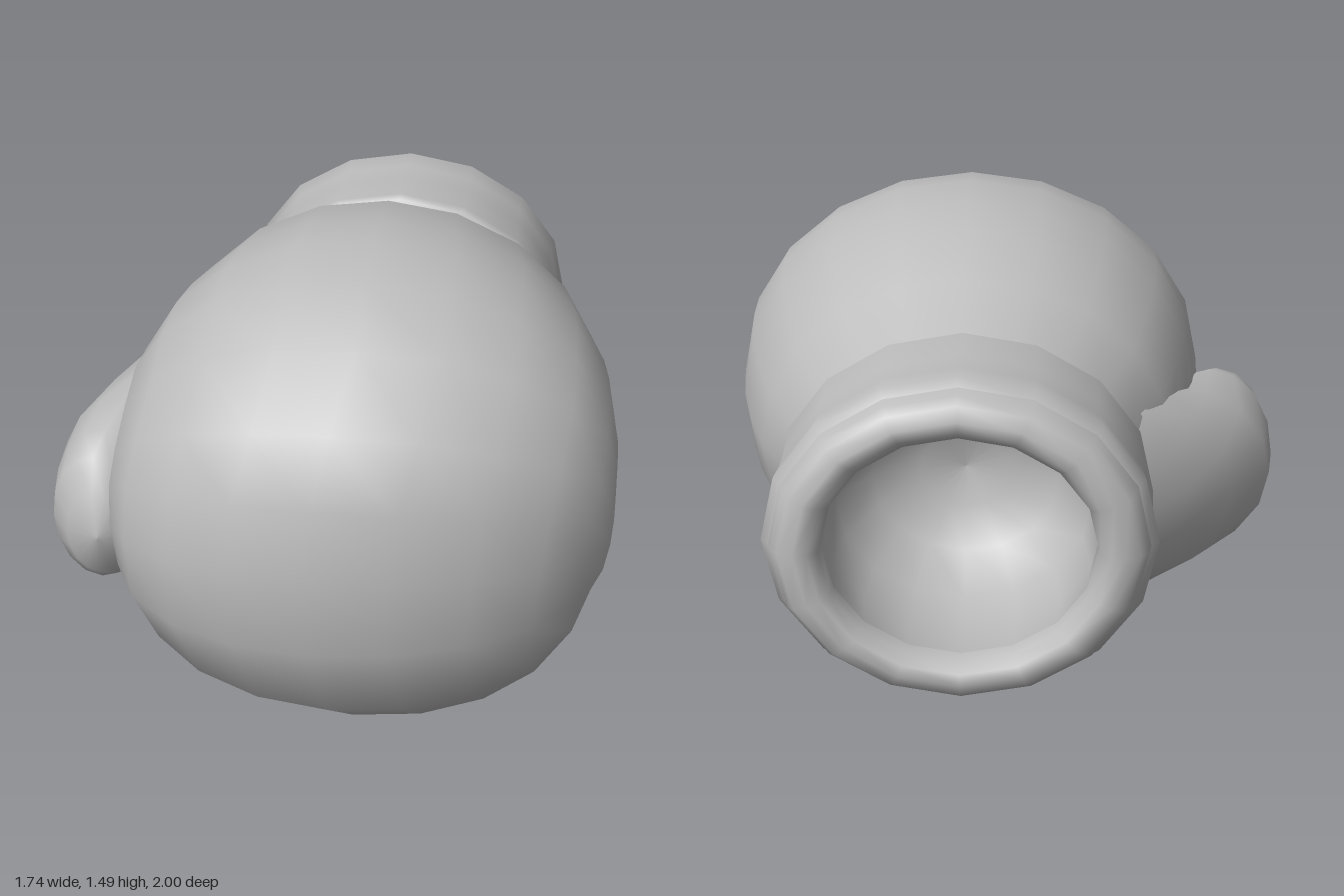
import * as THREE from 'three';

const leather = new THREE.MeshStandardMaterial({ color: 0xbcbcbc });
leather.name = 'grey leather';

// Skin over oval rings: [outerZ, outerY, innerZ, innerY, centreX, halfWidth, fold, skew]
// fold fills out the inner half towards a box, skew slides the outer half sideways
function loft(name, rings, sides) {
  const pos = [], index = [];
  rings.forEach(([oz, oy, iz, iy, cx, hw, fold = 0, skew = 0], i) => {
    const mid = 0.5 - 0.15 * fold, power = 1 - 0.4 * fold;
    for (let j = 0; j < sides; j++) {
      const a = (j / sides) * Math.PI * 2, c = Math.cos(a), s = Math.sin(a);
      const inner = c < 0;
      const t = inner ? mid - mid * Math.pow(-c, power) : mid + (1 - mid) * c;
      const x = inner ? Math.sign(s) * Math.pow(Math.abs(s), power) : s;
      pos.push(cx + hw * x + skew * Math.max(0, c), iy + (oy - iy) * t, iz + (oz - iz) * t);
      if (i === rings.length - 1) continue;
      const k = (j + 1) % sides, p = i * sides, q = p + sides;
      index.push(p + j, q + j, q + k, p + j, q + k, p + k);
    }
  });
  const geo = new THREE.BufferGeometry();
  geo.setAttribute('position', new THREE.Float32BufferAttribute(pos, 3));
  geo.setIndex(index);
  geo.computeVertexNormals();
  const mesh = new THREE.Mesh(geo, leather);
  mesh.name = name;
  return mesh;
}

// Oval turned part about the wrist axis: [relative radius, distance behind centre]
function turned(name, profile) {
  const geo = new THREE.LatheGeometry(profile.map(([r, d]) => new THREE.Vector2(r, d)), 16);
  geo.rotateX(-Math.PI / 2);
  geo.scale(0.55, 0.485, 1);
  geo.translate(0.12, 0.785, 0);
  const mesh = new THREE.Mesh(geo, leather);
  mesh.name = name;
  return mesh;
}

export function createModel() {
  const glove = new THREE.Group();
  glove.name = 'paddedGlove';

  // Back of the hand, knuckles, and fingers curled down around the palm crease
  const hand = [
    [-0.6, 1.21, -0.6, 0.37, 0.5, 0, 0],
    [-0.46, 1.26, -0.46, 0.34, 0.52, 0, 0],
    [-0.3, 1.35, -0.28, 0.34, 0.62, 0.2, 0],
    [-0.12, 1.44, -0.1, 0.37, 0.68, 0.5, 0],
    [0.08, 1.475, 0.05, 0.45, 0.72, 0.8, 0],
    [0.26, 1.49, 0.15, 0.53, 0.735, 1, 0],
    [0.47, 1.46, 0.2, 0.575, 0.74, 1, 0],
    [0.7, 1.37, 0.22, 0.595, 0.74, 1, 0],
    [0.88, 1.2, 0.23, 0.6, 0.74, 1, -0.04],
    [0.97, 1.02, 0.235, 0.6, 0.74, 1, -0.08],
    [1.0, 0.8, 0.235, 0.59, 0.735, 1, -0.1],
    [1.0, 0.55, 0.23, 0.58, 0.72, 1, -0.1],
    [0.9, 0.28, 0.22, 0.56, 0.69, 1, -0.05],
    [0.7, 0.1, 0.2, 0.54, 0.665, 1, 0],
    [0.52, 0.03, 0.17, 0.51, 0.645, 1, 0],
    [0.35, 0.0, 0.14, 0.47, 0.61, 0.9, 0],
    [0.23, 0.05, 0.11, 0.43, 0.57, 0.7, 0],
    [0.13, 0.15, 0.08, 0.38, 0.5, 0.5, 0],
    [0.08, 0.24, 0.07, 0.33, 0.36, 0.2, 0],
    [0.07, 0.28, 0.07, 0.28, 0, 0, 0],
  ].map(([oz, oy, iz, iy, hw, fold, skew]) => [oz, oy, iz, iy, 0.125, hw, fold, skew]);
  glove.add(loft('hand', hand, 20));

  // Thumb, flaring into the hand at its root: [z, centreX, centreY, halfWidth, halfHeight]
  const thumb = [
    [-0.5, -0.06, 0.74, 0.31, 0.35],
    [-0.38, -0.15, 0.7, 0.385, 0.37],
    [-0.23, -0.3, 0.65, 0.4, 0.35],
    [0.0, -0.5, 0.6, 0.34, 0.3],
    [0.2, -0.65, 0.58, 0.22, 0.295],
    [0.33, -0.69, 0.57, 0.175, 0.26],
    [0.42, -0.71, 0.56, 0.14, 0.22],
    [0.49, -0.7, 0.55, 0.09, 0.14],
    [0.515, -0.69, 0.55, 0, 0],
  ].map(([z, x, y, w, h]) => [z, y + h, z, y - h, x, w]);
  glove.add(loft('thumb', thumb, 16));

  // Wrist cuff, rolled rim and the hollow inside
  glove.add(turned('cuff', [[0.88, 0.5], [0.98, 0.525], [1, 0.55], [0.985, 0.7],
    [0.985, 0.8], [1, 0.885], [0.95, 0.915]]));
  glove.add(turned('rim', [[0.96, 0.9], [0.94, 0.95], [0.9, 0.98], [0.82, 1.0], [0.75, 0.995],
    [0.7, 0.965], [0.69, 0.92]]));
  glove.add(turned('lining', [[0.69, 0.92], [0.72, 0.78], [0.68, 0.6], [0.5, 0.46], [0.25, 0.4], [0, 0.38]]));
  return glove;
}
